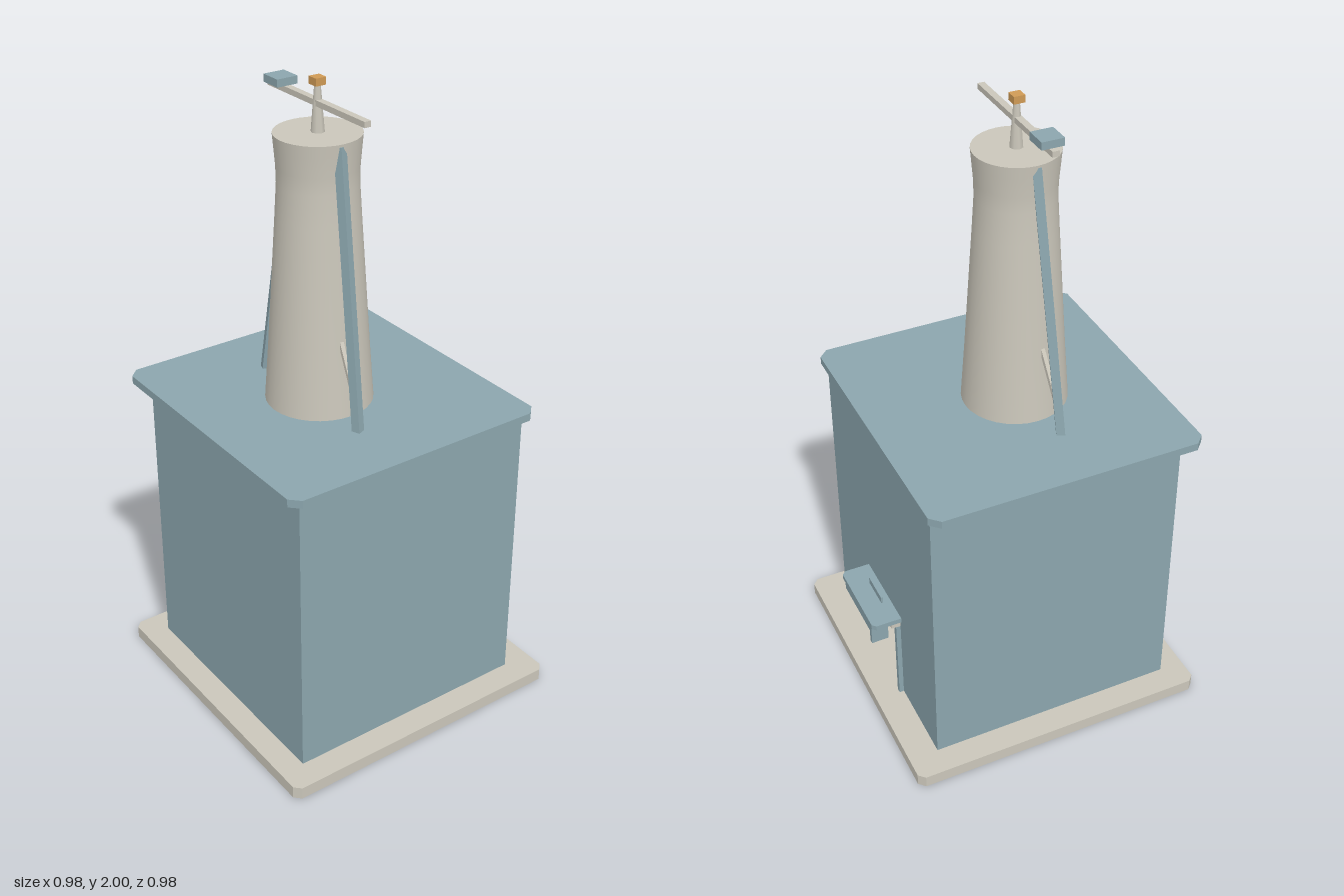
import * as THREE from 'three';

const blue = new THREE.MeshStandardMaterial({ color: 0x8ba5ad });
blue.name = 'slateBlue';
const cream = new THREE.MeshStandardMaterial({ color: 0xcac6ba });
cream.name = 'stoneCream';
const orange = new THREE.MeshStandardMaterial({ color: 0xcf9a55 });
orange.name = 'brassOrange';

export function createModel() {
  const model = new THREE.Group();
  model.name = 'chimneyHouse';

  const add = (name, geometry, material) => {
    const mesh = new THREE.Mesh(geometry, material);
    mesh.name = name;
    model.add(mesh);
    return mesh;
  };

  // Box given by its limits on each axis
  const box = (name, material, x0, x1, y0, y1, z0, z1) => {
    const mesh = add(name, new THREE.BoxGeometry(x1 - x0, y1 - y0, z1 - z0), material);
    mesh.position.set((x0 + x1) / 2, (y0 + y1) / 2, (z0 + z1) / 2);
    return mesh;
  };

  // Flat slab with cut corners; cl and cr are the cuts on the -x and +x sides
  const slab = (name, material, x0, x1, y0, y1, z0, z1, cl, cr) => {
    const corners = [
      [x0 + cl, -z1], [x1 - cr, -z1], [x1, -z1 + cr], [x1, -z0 - cr],
      [x1 - cr, -z0], [x0 + cl, -z0], [x0, -z0 - cl], [x0, -z1 + cl],
    ].map(([x, y]) => new THREE.Vector2(x, y));
    const geometry = new THREE.ExtrudeGeometry(new THREE.Shape(corners),
      { depth: y1 - y0, bevelEnabled: false });
    geometry.rotateX(-Math.PI / 2).translate(0, y0, 0);
    return add(name, geometry, material);
  };

  // Square beam between two points, rolled about its length
  const beam = (name, material, from, to, size, roll) => {
    const a = new THREE.Vector3(...from), b = new THREE.Vector3(...to);
    const geometry = new THREE.BoxGeometry(size, size, a.distanceTo(b));
    geometry.rotateZ(roll);
    const mesh = add(name, geometry, material);
    mesh.position.copy(a).lerp(b, 0.5);
    mesh.lookAt(b);
    return mesh;
  };

  // Base and roof
  slab('base', cream, -0.49, 0.49, 0, 0.04, -0.49, 0.49, 0.02, 0.02);
  slab('roof', blue, -0.463, 0.41, 0.995, 1.02, -0.458, 0.456, 0.03, 0.03);

  // Hollow body, with a doorway through the +x wall
  const t = 0.045;
  box('backWall', blue, -0.41, 0.395, 0.04, 0.995, -0.405, -0.405 + t);
  box('frontWall', blue, -0.41, 0.395, 0.04, 0.995, 0.405 - t, 0.405);
  box('rightWall', blue, -0.41, -0.41 + t, 0.04, 0.995, -0.405 + t, 0.405 - t);
  const wall = new THREE.Shape([
    [-0.405 + t, 0.04], [-0.115, 0.04], [-0.115, 0.335], [0.115, 0.335],
    [0.115, 0.04], [0.405 - t, 0.04], [0.405 - t, 0.995], [-0.405 + t, 0.995],
  ].map(([x, y]) => new THREE.Vector2(x, y)));
  const doorWall = new THREE.ExtrudeGeometry(wall, { depth: t, bevelEnabled: false });
  doorWall.rotateY(Math.PI / 2).translate(0.395 - t, 0, 0);
  add('doorWall', doorWall, blue);

  // Door frame and canopy
  for (const s of [-1, 1]) {
    box('doorPost', blue, 0.393, 0.41, 0.04, 0.335, s * 0.122 - 0.008, s * 0.122 + 0.008);
  }
  box('lintel', cream, 0.393, 0.425, 0.335, 0.36, -0.13, 0.13);
  box('canopyBracket', blue, 0.425, 0.445, 0.353, 0.36, -0.1, 0.1);
  slab('canopy', blue, 0.393, 0.49, 0.36, 0.377, -0.14, 0.137, 0, 0.012);
  box('canopyCrest', blue, 0.42, 0.426, 0.377, 0.4, -0.05, 0.053);

  // Tapered tower with a flared rim
  const cx = -0.06;
  const profile = [[0.163, 1.02], [0.15, 1.2], [0.137, 1.4], [0.124, 1.6],
    [0.118, 1.7], [0.119, 1.75], [0.124, 1.81], [0.127, 1.845]];
  const tower = new THREE.LatheGeometry(profile.map(([r, y]) => new THREE.Vector2(r, y)), 32);
  add('tower', tower, cream).position.x = cx;
  const cap = add('towerTop', new THREE.CircleGeometry(0.127, 32).rotateX(-Math.PI / 2), cream);
  cap.position.set(cx, 1.845, 0);

  // Slanted struts with small braces on the front and back
  for (const s of [-1, 1]) {
    beam('strut', blue, [-0.094, 1.01, s * 0.244], [-0.066, 1.835, s * 0.113], 0.026, s * 0.6);
    beam('strutBrace', cream, [-0.09, 1.11, s * 0.222], [-0.08, 1.26, s * 0.138], 0.012, 0);
  }

  // Mast, cross bar, counterweight and knob
  const mast = new THREE.CylinderGeometry(0.009, 0.02, 0.135, 8);
  add('mast', mast, cream).position.set(cx, 1.9125, 0);
  box('crossBar', cream, -0.071, -0.05, 1.92, 1.937, -0.232, 0.23);
  box('counterweight', blue, -0.095, -0.027, 1.937, 1.96, -0.214, -0.145);
  box('knob', orange, -0.077, -0.043, 1.978, 2, -0.017, 0.017);

  return model;
}
